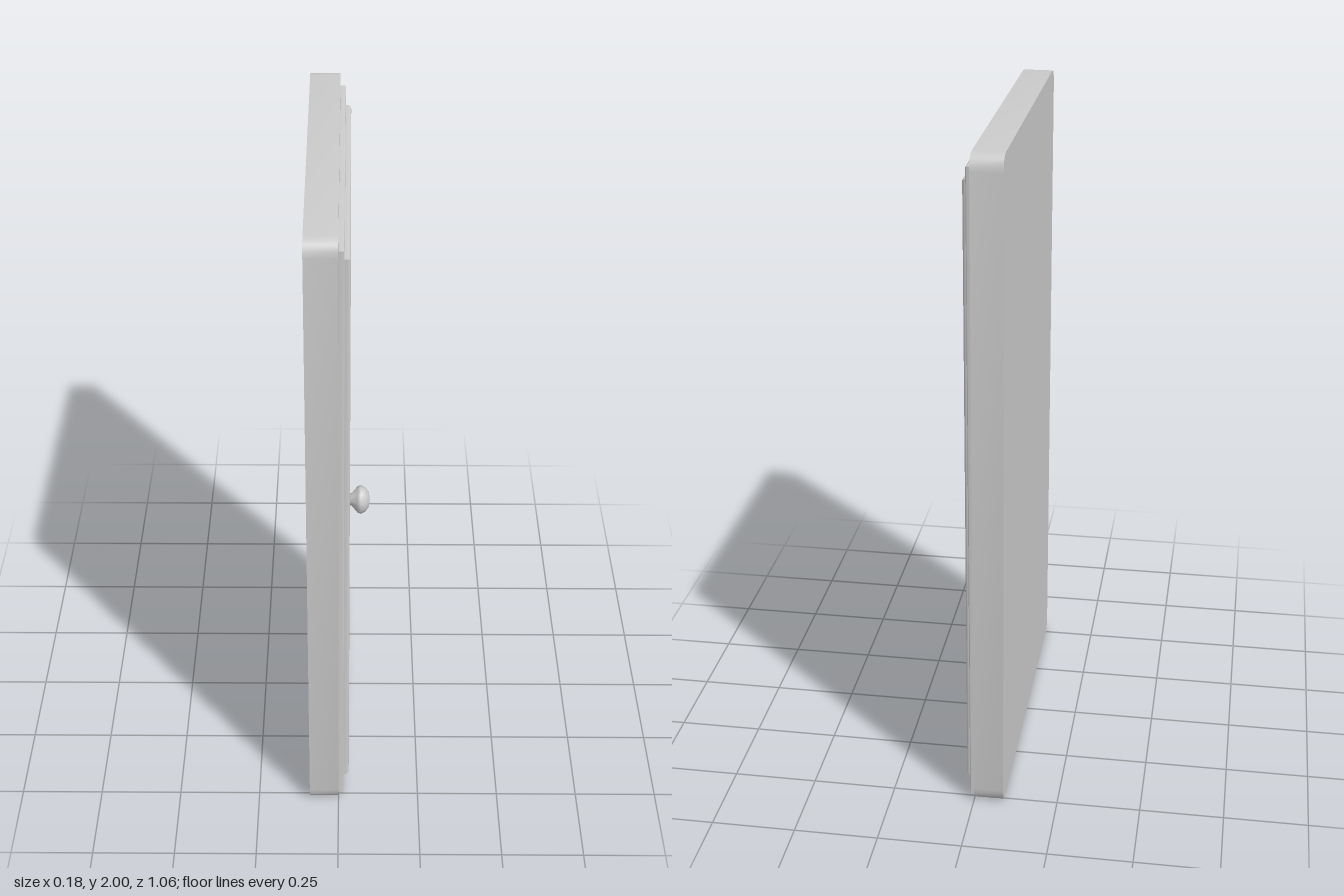
import * as THREE from 'three';
import { toCreasedNormals } from 'three/addons/utils/BufferGeometryUtils.js';

const material = new THREE.MeshStandardMaterial({ color: 0xcccccc });

// Rectangle outline, optionally with rounded corners
function rect(path, x0, y0, x1, y1, r = 0) {
  if (!r) {
    path.moveTo(x0, y0).lineTo(x1, y0).lineTo(x1, y1).lineTo(x0, y1).closePath();
    return path;
  }
  path.moveTo(x0 + r, y0).lineTo(x1 - r, y0);
  path.quadraticCurveTo(x1, y0, x1, y0 + r).lineTo(x1, y1 - r);
  path.quadraticCurveTo(x1, y1, x1 - r, y1).lineTo(x0 + r, y1);
  path.quadraticCurveTo(x0, y1, x0, y1 - r).lineTo(x0, y0 + r);
  path.quadraticCurveTo(x0, y0, x0 + r, y0);
  return path;
}

// Plate from depth z0 to z1 with an optional soft bevel inside the outline
function plate(name, shape, z0, z1, bevel = 0) {
  const geometry = new THREE.ExtrudeGeometry(shape, {
    depth: z1 - z0 - 2 * bevel, curveSegments: 4,
    bevelEnabled: bevel > 0, bevelThickness: bevel, bevelSize: bevel,
    bevelOffset: -bevel, bevelSegments: 3,
  });
  geometry.translate(0, 0, z0 + bevel);
  const mesh = new THREE.Mesh(toCreasedNormals(geometry, 0.7), material);
  mesh.name = name;
  return mesh;
}

export function createModel() {
  const model = new THREE.Group();
  model.name = 'door';
  const door = new THREE.Group();
  door.name = 'doorAssembly';
  door.rotation.y = Math.PI / 2; // the door face looks toward +x
  model.add(door);

  // Outer slab and the stepped casing on its face
  door.add(plate('frame', rect(new THREE.Shape(), -0.53, 0, 0.53, 2, 0.045), -0.09, 0));
  door.add(plate('casing', rect(new THREE.Shape(), -0.5, 0.005, 0.5, 1.96), -0.02, 0.016, 0.003));

  // Stiles and rails around two sunken panels
  const stiles = rect(new THREE.Shape(), -0.46, 0.045, 0.46, 1.915);
  stiles.holes.push(
    rect(new THREE.Path(), -0.388, 0.11, 0.388, 0.565),
    rect(new THREE.Path(), -0.395, 0.655, 0.395, 1.84),
  );
  door.add(plate('stilesAndRails', stiles, 0, 0.032, 0.008));
  door.add(plate('upperPanel', rect(new THREE.Shape(), -0.41, 0.62, 0.41, 1.86), 0, 0.021));
  door.add(plate('lowerPanel', rect(new THREE.Shape(), -0.41, 0.08, 0.41, 0.59), 0, 0.018));

  // Lock plate and knob
  door.add(plate('lockPlate', rect(new THREE.Shape(), -0.365, 0.94, -0.288, 1.135), 0.01, 0.03, 0.002));
  const profile = [[0, 0.02], [0.016, 0.02], [0.018, 0.037], [0.038, 0.054],
    [0.042, 0.064], [0.036, 0.076], [0.022, 0.087], [0, 0.09]]
    .map(([r, y]) => new THREE.Vector2(r, y));
  const knob = new THREE.Mesh(new THREE.LatheGeometry(profile, 10), material);
  knob.name = 'knob';
  knob.rotation.x = Math.PI / 2;
  knob.position.set(-0.325, 1.04, 0);
  door.add(knob);

  return model;
}
